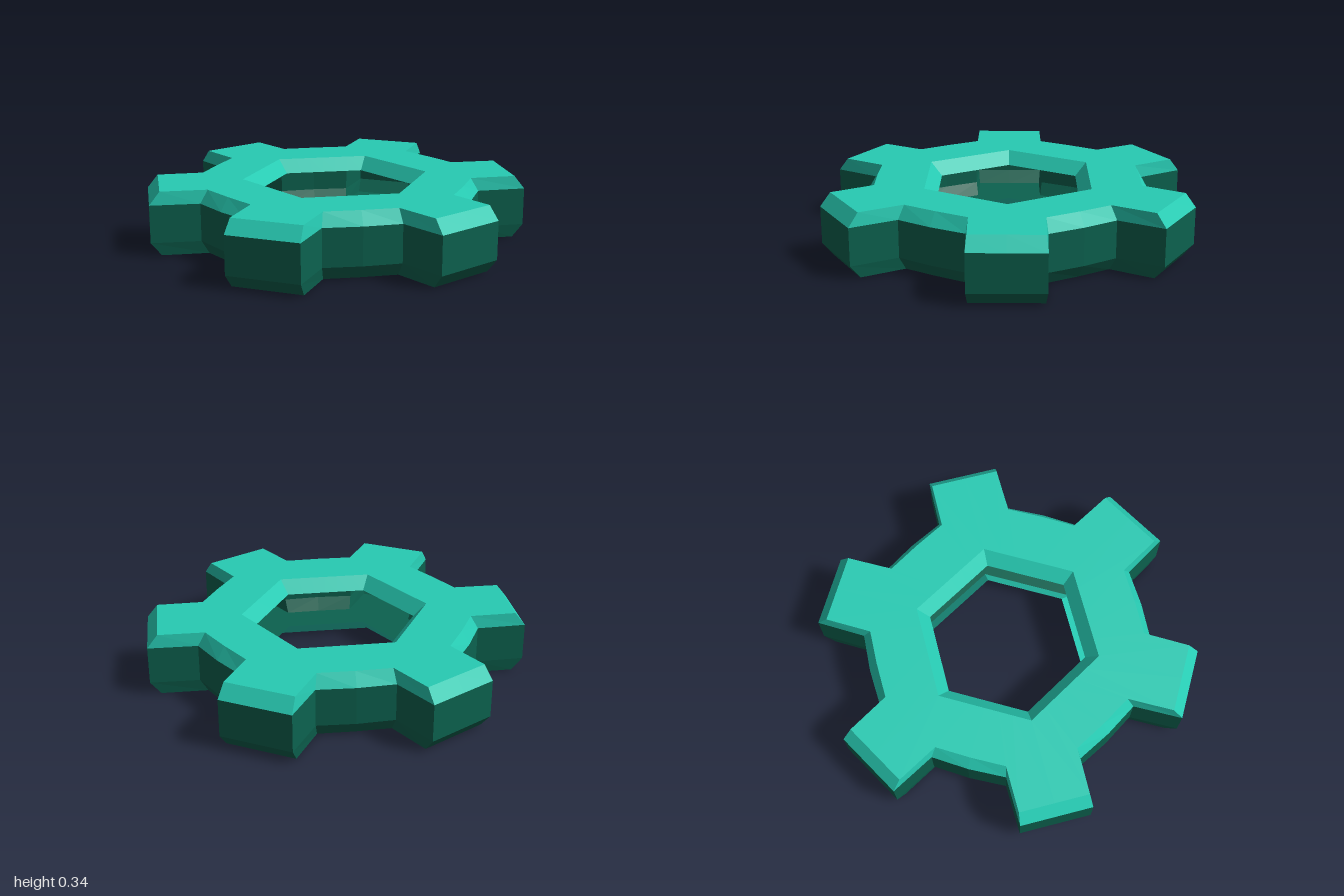
import * as THREE from 'three';

const TEETH = 6;

// Outer outline: half tooth, gap bulge, half of the next tooth, repeated around.
// Each tooth is described by its tip radius, tip half-width, root distance and root half-width.
function gearLoop(tip, tipHalf, root, rootHalf, gap, y) {
  const pts = [];
  const add = (angle, across, along) => pts.push(new THREE.Vector3(
    along * Math.sin(angle) + across * Math.cos(angle), y,
    along * Math.cos(angle) - across * Math.sin(angle)));
  for (let i = 0; i < TEETH; i++) {
    const a = i * Math.PI / 3, next = a + Math.PI / 3;
    add(a, 0, tip);
    add(a, tipHalf, tip);
    add(a, rootHalf, root);
    add(a + Math.PI / 6, 0, gap);
    add(next, -rootHalf, root);
    add(next, -tipHalf, tip);
  }
  return pts;
}

// Hexagonal hole with as many points as the outer outline
function hexLoop(radius, y) {
  const pts = [];
  const corner = (i) => new THREE.Vector3(
    radius * Math.sin(i * Math.PI / 3), y, radius * Math.cos(i * Math.PI / 3));
  for (let i = 0; i < TEETH; i++) {
    for (const t of [0, 0.2, 0.35, 0.5, 0.65, 0.8]) {
      pts.push(corner(i).lerp(corner(i + 1), t));
    }
  }
  return pts;
}

// Joins successive closed loops into a flat-faced band
function loftBand(loops) {
  const pos = [];
  for (let r = 0; r < loops.length - 1; r++) {
    const upper = loops[r], lower = loops[r + 1];
    upper.forEach((a, i) => {
      const j = (i + 1) % upper.length;
      for (const p of [a, lower[i], lower[j], a, lower[j], upper[j]]) pos.push(p.x, p.y, p.z);
    });
  }
  const geo = new THREE.BufferGeometry();
  geo.setAttribute('position', new THREE.Float32BufferAttribute(pos, 3));
  geo.computeVertexNormals();
  return geo;
}

function makeMaterial(name, color) {
  const material = new THREE.MeshStandardMaterial({ color, side: THREE.DoubleSide });
  material.name = name;
  return material;
}

export function createModel() {
  const group = new THREE.Group();
  group.name = 'gear';
  const brightTeal = makeMaterial('brightTeal', 0x27cbb3);
  const darkGreen = makeMaterial('darkGreen', 0x0c624f);

  const face = (y) => gearLoop(0.945, 0.185, 0.70, 0.188, 0.705, y);
  const side = (y) => gearLoop(1.0, 0.192, 0.74, 0.198, 0.75, y);
  const addBand = (name, material, loops) => {
    const mesh = new THREE.Mesh(loftBand(loops), material);
    mesh.name = name;
    group.add(mesh);
  };

  // Hole bevel, top face and outer bevel
  addBand('topFace', brightTeal, [hexLoop(0.43, 0.27), hexLoop(0.5, 0.34), face(0.34), side(0.27)]);
  // Outer walls, lower bevel and underside; the shell is open inside the hole
  addBand('wallsAndUnderside', darkGreen, [side(0.27), side(0.07), face(0), hexLoop(0.5, 0)]);
  // Lower hole bevel
  addBand('lowerHoleBevel', brightTeal, [hexLoop(0.5, 0), hexLoop(0.43, 0.07)]);
  return group;
}
